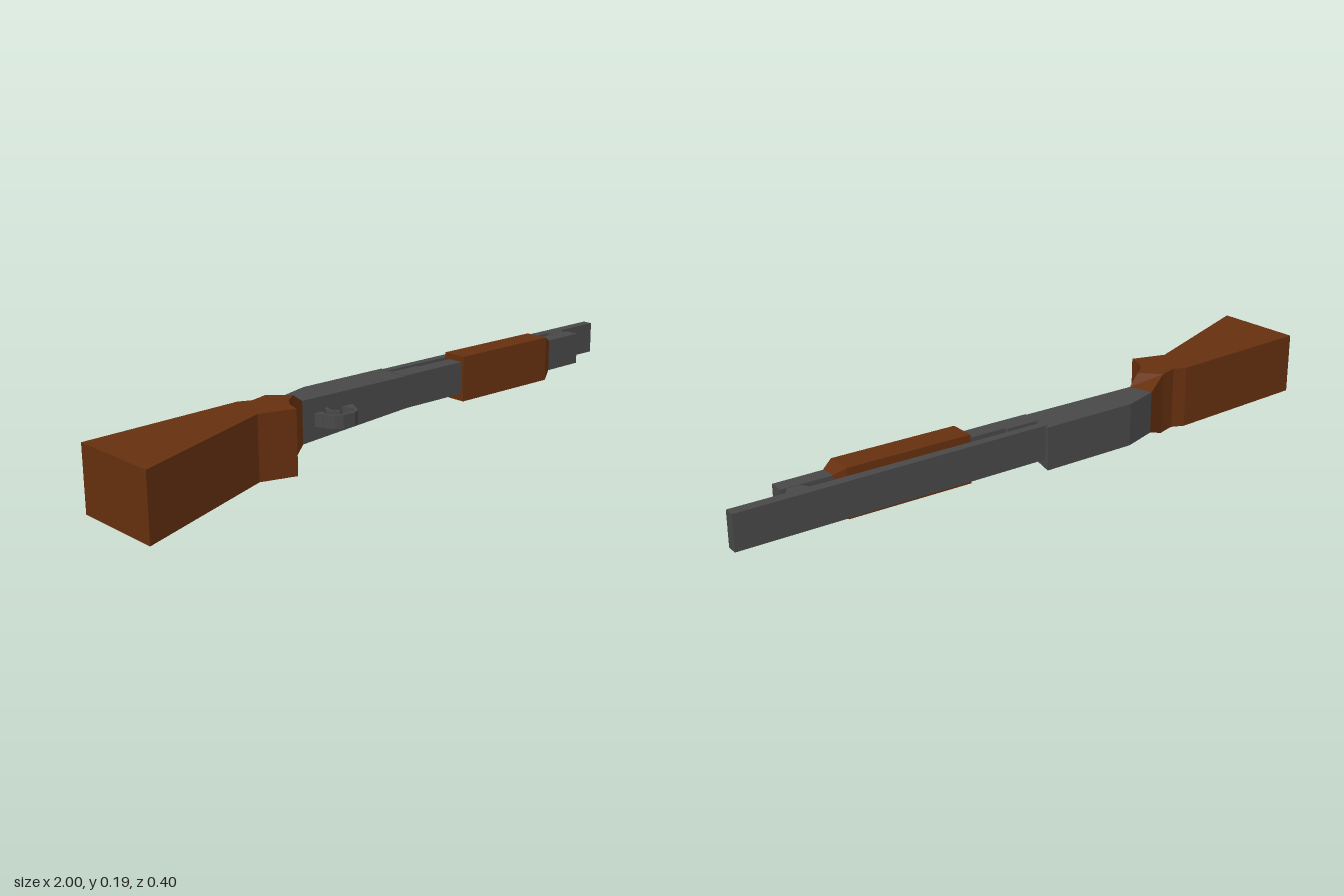
import * as THREE from 'three';

const wood = new THREE.MeshStandardMaterial({ color: 0x66300f, flatShading: true });
const metal = new THREE.MeshStandardMaterial({ color: 0x484848, flatShading: true });

// Four-sided solid through stations along x.
// Station: [x upper, z upper, x lower, z lower, y min, y max, y min of lower edge (optional)]
function loft(name, material, stations) {
  const rings = stations.map(([xu, zu, xl, zl, y0, y1, yl = y0]) => [
    [xu, y0, zu], [xu, y1, zu], [xl, y1, zl], [xl, yl, zl],
  ]);
  const pos = [];
  const quad = (a, b, c, d) => pos.push(...a, ...b, ...c, ...a, ...c, ...d);
  for (let s = 0; s < rings.length - 1; s++) {
    const p = rings[s], q = rings[s + 1];
    for (let i = 0; i < 4; i++) {
      const j = (i + 1) % 4;
      quad(p[i], p[j], q[j], q[i]);
    }
  }
  quad(...[...rings[0]].reverse());
  quad(...rings[rings.length - 1]);
  const geometry = new THREE.BufferGeometry();
  geometry.setAttribute('position', new THREE.Float32BufferAttribute(pos, 3));
  geometry.computeVertexNormals();
  const mesh = new THREE.Mesh(geometry, material);
  mesh.name = name;
  return mesh;
}

// Flat plate drawn in x/z and extruded between two heights.
function plate(name, points, y0, y1) {
  const shape = new THREE.Shape(points.map(([x, z]) => new THREE.Vector2(x, -z)));
  const geometry = new THREE.ExtrudeGeometry(shape, { depth: y1 - y0, bevelEnabled: false });
  geometry.rotateX(-Math.PI / 2).translate(0, y0, 0);
  const mesh = new THREE.Mesh(geometry, metal);
  mesh.name = name;
  return mesh;
}

// Thin strip of constant width that follows a path in x/z.
function strip(name, path, width, y0, y1) {
  const side = (sign) => path.map(([x, z], i) => {
    const a = path[Math.max(i - 1, 0)], b = path[Math.min(i + 1, path.length - 1)];
    const dx = b[0] - a[0], dz = b[1] - a[1], len = Math.hypot(dx, dz);
    return [x - (sign * dz * width) / 2 / len, z + (sign * dx * width) / 2 / len];
  });
  return plate(name, [...side(1), ...side(-1).reverse()], y0, y1);
}

export function createModel() {
  const model = new THREE.Group();
  model.name = 'shotgun';

  // Stock with the grip notch, narrowing at the neck
  model.add(loft('stock', wood, [
    [-1, -0.085, -0.995, 0.197, 0, 0.187],
    [-0.515, -0.118, -0.545, 0.012, 0, 0.187],
    [-0.478, -0.102, -0.44, 0.042, 0, 0.187],
    [-0.457, -0.108, -0.428, -0.002, 0, 0.187],
    [-0.44, -0.113, -0.405, -0.037, 0, 0.187],
    [-0.42, -0.12, -0.367, -0.066, 0, 0.187],
    [-0.342, -0.158, -0.322, -0.085, 0.032, 0.158],
  ]));

  // Receiver, its lower edge slanting inwards towards the front
  model.add(loft('receiver', metal, [
    [-0.342, -0.158, -0.322, -0.085, 0.032, 0.158],
    [-0.23, -0.195, -0.24, -0.085, 0.031, 0.158, 0.038],
    [0.07, -0.199, 0.07, -0.085, 0.031, 0.158, 0.06],
  ]));

  // Barrel and the magazine tube beneath it
  model.add(loft('barrel', metal, [
    [0.06, -0.187, 0.06, -0.162, 0.06, 0.16],
    [1, -0.197, 1, -0.165, 0.06, 0.16],
  ]));
  model.add(loft('magazineTube', metal, [
    [0.06, -0.145, 0.06, -0.085, 0.06, 0.16],
    [0.165, -0.145, 0.165, -0.085, 0.06, 0.16],
    [0.17, -0.137, 0.17, -0.085, 0.06, 0.16],
    [0.3, -0.137, 0.3, -0.087, 0.06, 0.16],
    [0.845, -0.14, 0.845, -0.095, 0.06, 0.16],
  ]));
  model.add(plate('barrelClamp',
    [[0.775, -0.166], [0.845, -0.166], [0.825, -0.135], [0.795, -0.135]], 0.061, 0.159));

  // Sliding fore-end with a bevelled front
  model.add(loft('foreEnd', wood, [
    [0.295, -0.156, 0.295, -0.077, 0.037, 0.178],
    [0.67, -0.156, 0.67, -0.077, 0.037, 0.178],
    [0.7, -0.138, 0.7, -0.09, 0.06, 0.16],
  ]));

  // Trigger guard loop, its two feet and the trigger
  model.add(strip('triggerGuard', [
    [-0.268, -0.086], [-0.265, -0.055], [-0.25, -0.032], [-0.23, -0.022],
    [-0.19, -0.022], [-0.172, -0.032], [-0.163, -0.052], [-0.163, -0.086],
  ], 0.009, 0.075, 0.114));
  model.add(plate('guardFrontFoot',
    [[-0.18, -0.087], [-0.14, -0.087], [-0.158, -0.05], [-0.167, -0.05]], 0.075, 0.114));
  model.add(plate('guardRearFoot',
    [[-0.28, -0.087], [-0.25, -0.087], [-0.261, -0.058], [-0.268, -0.058]], 0.075, 0.114));
  model.add(strip('trigger', [
    [-0.235, -0.088], [-0.246, -0.066], [-0.243, -0.048], [-0.228, -0.036],
  ], 0.01, 0.085, 0.122));

  return model;
}
